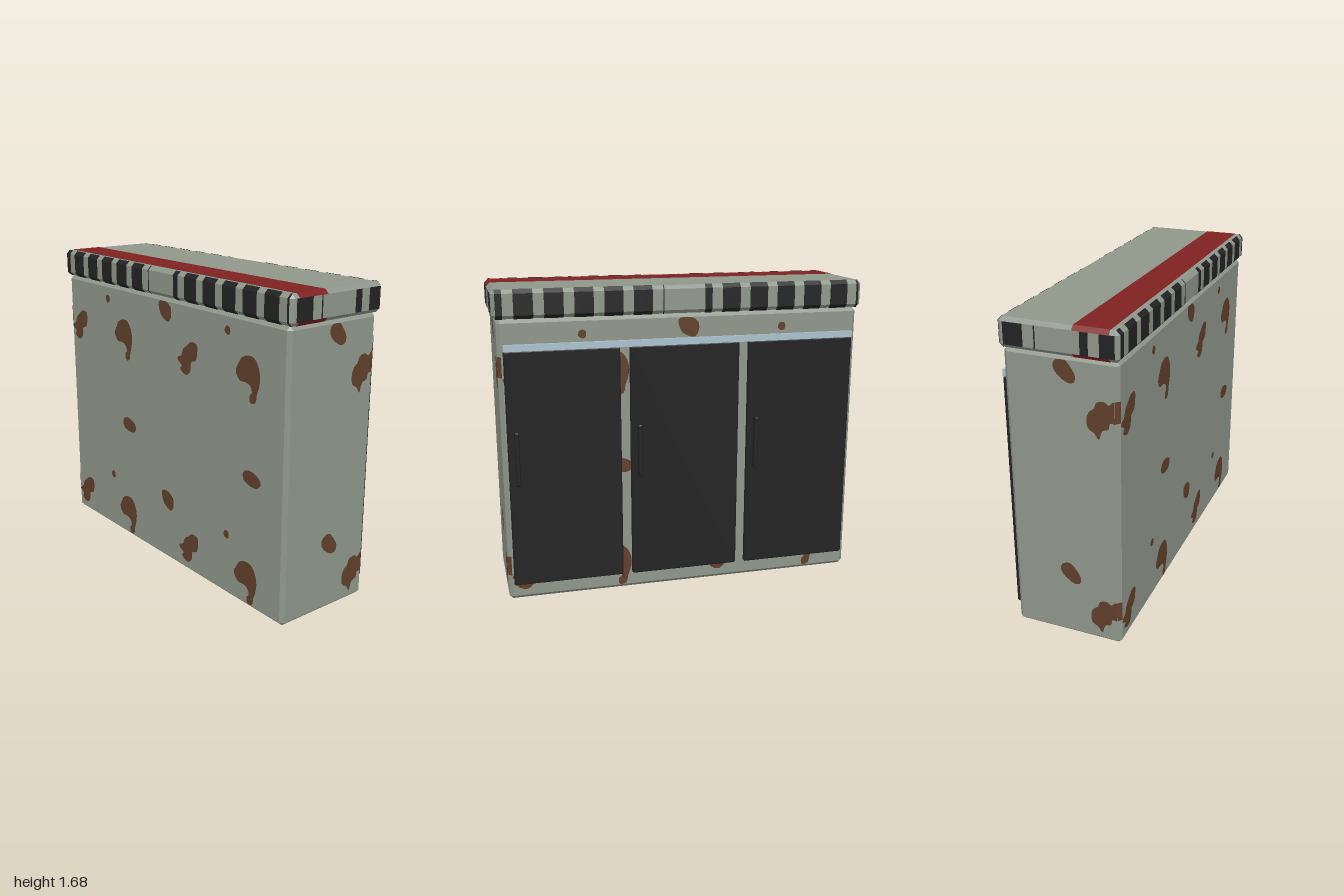
import * as THREE from 'three';
import { ConvexGeometry } from 'three/addons/geometries/ConvexGeometry.js';

const paint = (name, color, side = THREE.FrontSide) => {
  const m = new THREE.MeshStandardMaterial({ color, side });
  m.name = name;
  return m;
};

// Box with every edge cut at 45 degrees
function chamferBox(w, h, d, b) {
  const pts = [], x = w / 2, y = h / 2, z = d / 2;
  for (const i of [-1, 1]) for (const j of [-1, 1]) for (const k of [-1, 1]) {
    pts.push(new THREE.Vector3(i * x, j * (y - b), k * (z - b)));
    pts.push(new THREE.Vector3(i * (x - b), j * y, k * (z - b)));
    pts.push(new THREE.Vector3(i * (x - b), j * (y - b), k * z));
  }
  return new ConvexGeometry(pts);
}

function add(parent, name, geometry, material, x = 0, y = 0, z = 0) {
  const mesh = new THREE.Mesh(geometry, material);
  mesh.name = name;
  mesh.position.set(x, y, z);
  parent.add(mesh);
  return mesh;
}

const prism = (pts, depth) => new THREE.ExtrudeGeometry(
  new THREE.Shape(pts.map(p => new THREE.Vector2(...p))), { depth, bevelEnabled: false });

// Rust outlines in hundredths of a unit, on the face plane
const HOOK = [[13, 12.5], [13.6, 14.1], [16.3, 15.2], [18, 19], [21, 21.3], [25, 24], [29.7, 23.4], [30.2, 20],
  [29, 15], [26.5, 13.8], [24.8, 13], [24.3, 8.5], [21, 5.6], [18, 6], [15.3, 8], [16.8, 10]];
const TAIL = [[-48, 17], [-46, 20.5], [-44, 23.5], [-39, 25.6], [-34.5, 25], [-31.3, 21], [-30.2, 15.5], [-31.3, 10],
  [-32.3, 7.5], [-33.4, 3], [-37, 2.4], [-37.6, 6], [-36, 7.5], [-37, 10.6], [-40.4, 12], [-44.6, 12], [-47.3, 14.2]];
const PATCH = [[-3.5, 40.6], [-1.3, 42.2], [3, 42.2], [7.2, 39.6], [7.8, 35.3], [6.2, 32], [4.5, 31.4], [0.8, 32.6], [-1.9, 34.7]];
const SPECK = [[-56.9, 35], [-55.5, 37.4], [-53, 37], [-52.6, 34.2], [-54, 33], [-56, 33.6]];
const OVAL = [[-42, 73], [-40.4, 75.4], [-36.6, 76.3], [-32.4, 75.4], [-29, 73.3], [-28.6, 71], [-31.3, 68.4], [-36.6, 68.3], [-41, 70]];
const SIDE_PATCH = [[-3.3, 39], [-1.6, 41.8], [2, 42.6], [5.1, 39.6], [7.8, 34.7], [6.9, 31.5], [3.8, 31.1], [0.2, 33.3], [-2.4, 36]];
const SIDE_HOOK = [[13.1, 15.6], [14.4, 18.5], [16.7, 20.4], [18, 23.4], [21.6, 24.4], [24.2, 23], [26, 24.7], [29, 25],
  [29, 14.2], [24.7, 14.2], [23.8, 11], [20.7, 9.7], [18.9, 4.9], [16.7, 8], [13.6, 10]];

// Smooth outline, clamped to the flat part of its face
function rustGeometry(outline, dx, dy, limit) {
  const curve = new THREE.CatmullRomCurve3(
    outline.map(([x, y]) => new THREE.Vector3(x / 100 + dx, y / 100 + dy, 0)), true);
  const pts = curve.getPoints(outline.length * 3).slice(0, -1)
    .map(p => new THREE.Vector2(Math.min(limit, p.x), Math.min(1.51, p.y)));
  return new THREE.ShapeGeometry(new THREE.Shape(pts));
}

export function createModel() {
  const model = new THREE.Group();
  model.name = 'cabinet';
  const grey = paint('grey green paint', 0x8f978b);
  const black = paint('black', 0x232323);
  const red = paint('dark red', 0x7f2121);
  const rust = paint('rust', 0x613f2b, THREE.DoubleSide);
  const steel = paint('pale steel', 0xabc2cf);
  const E = 0.002, PITCH = 1.09, CZ = 0.02;

  // Main body and the lid slab
  add(model, 'body', chamferBox(1.96, 1.53, 0.58, 0.02), grey, 0, 0.765, CZ);
  const lid = new THREE.Group();
  lid.name = 'lid';
  lid.position.set(0, 1.605, CZ);
  model.add(lid);
  const W = 1, H = 0.074, D = 0.3, B = 0.019;
  add(lid, 'lidSlab', chamferBox(2 * W, 2 * H, 2 * D, B), grey);

  // Red band over and under the lid
  for (const s of [1, -1]) {
    const pts = [[-W - E, H - B], [W + E, H - B], [W - B, H + E], [B - W, H + E]].map(([x, y]) => [x, s * y]);
    add(lid, 'redBand', prism(pts, 0.178), red, 0, 0, 0.095 - CZ);
  }

  // Black lid stripes; the second pass is the same set turned half round
  const longStripes = [[-0.98, -0.945], [-0.117, -0.112], [0.11, 0.148], [0.97, 0.981]];
  for (let i = 0; i < 5; i++) {
    longStripes.push([-0.89 + i * 0.154, -0.791 + i * 0.154]);
    longStripes.push([0.206 + i * 0.153, 0.304 + i * 0.153]);
  }
  const endStripes = [[0.17, 0.27], [0.107, 0.113], [-0.153, -0.113], [-0.281, -0.207]];
  const stripeProfile = [[D - B, H + E], [D + E, H - B], [D + E, B - H], [D - B, -H - E]];
  for (const turn of [0, Math.PI]) {
    const stripes = new THREE.Group();
    stripes.name = 'lidStripes';
    stripes.rotation.y = turn;
    lid.add(stripes);
    for (const [a, b] of longStripes) {
      const g = prism(stripeProfile.map(([z, y]) => [-z, y]), b - a);
      g.rotateY(Math.PI / 2);
      add(stripes, 'longStripe', g, black, a);
    }
    for (const [a, b] of endStripes) {
      add(stripes, 'endStripe', new THREE.BoxGeometry(0.004, 2 * (H - B), b - a), black, W, 0, (a + b) / 2);
    }
  }

  // Rust on the four walls
  for (const turn of [0, Math.PI]) {
    const walls = new THREE.Group();
    walls.name = 'wallRust';
    walls.position.z = CZ;
    walls.rotation.y = turn;
    model.add(walls);
    const spot = (o, dx, dy) => add(walls, 'rustSpot', rustGeometry(o, dx, dy, 0.96), rust, 0, 0, 0.29 + E);
    for (const dy of [0, PITCH]) {
      for (const dx of [0, -PITCH]) spot(HOOK, dx, dy);
      for (const dx of [0, PITCH]) {
        spot(TAIL, dx, dy);
        spot(SPECK, dx, dy);
      }
      spot(PATCH, 0, dy);
      for (const o of [SIDE_PATCH, SIDE_HOOK]) {
        add(walls, 'sideRust', rustGeometry(o, 0, dy, 0.27), rust, 0.98 + E).rotation.y = Math.PI / 2;
      }
      // Side rust carried on round the cut corner
      add(walls, 'cornerRust', new THREE.PlaneGeometry(0.028, 0.108), rust, 0.9715, 0.196 + dy, -0.2815)
        .rotation.y = Math.PI * 0.75;
    }
    for (const dx of [0, PITCH]) spot(OVAL, dx, 0);
  }

  // Rust underneath
  for (const [o, dx] of [[HOOK, 0], [HOOK, -PITCH], [TAIL, 0], [TAIL, PITCH]]) {
    add(model, 'bottomRust', rustGeometry(o, dx, 0, 0.96), rust, 0, -0.001, 0.01).rotation.x = -Math.PI / 2;
  }

  // Three rear doors with handles, and the rail above them
  for (const x of [-0.652, 0, 0.652]) {
    add(model, 'door', chamferBox(0.6, 1.28, 0.03, 0.006), black, x, 0.73, -0.278);
    add(model, 'doorHandle', chamferBox(0.024, 0.29, 0.034, 0.005), black, x + 0.253, 0.805, -0.303);
  }
  add(model, 'doorRail', new THREE.BoxGeometry(1.9, 0.035, 0.014), steel, 0, 1.3865, -0.287);

  return model;
}
